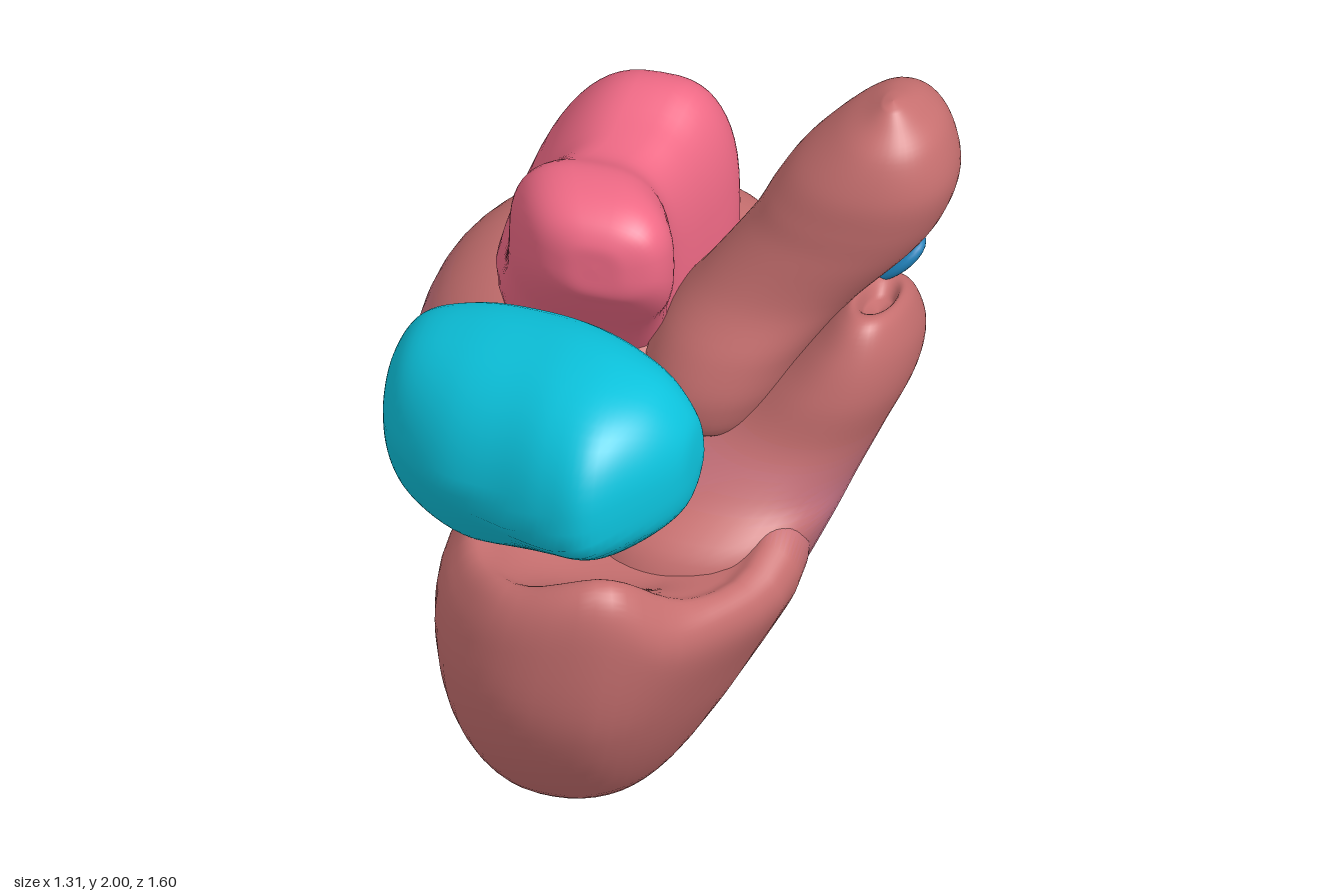
import * as THREE from 'three';

const BROWN = 0xc87070, PURPLE = 0xc27aa6, PINK = 0xf06a86, CYAN = 0x0cc4de, BLUE = 0x1f80b8;
const mat = (color) => new THREE.MeshStandardMaterial({ color });
const { smoothstep } = THREE.MathUtils;

// Smooth skin through oval sections [t, aMin, aMax, bMin, bMax], closed at both ends;
// place(t, a, b) turns section coordinates into a point.
function loft(sections, place, power = 0.92, sides = 48, steps = 6) {
  const n = sections.length;
  const spline = new THREE.CubicInterpolant(sections.map((_, i) => i), sections.flat(), 5);
  const rows = (n - 1) * steps;
  const pos = [], index = [];
  const round = (v) => Math.sign(v) * Math.abs(v) ** power;
  for (let r = 0; r <= rows; r++) {
    const [t, a0, a1, b0, b1] = Array.from(spline.evaluate(r / steps));
    const half = r === 0 || r === rows ? 0 : 0.5;
    for (let s = 0; s < sides; s++) {
      const u = (s / sides) * Math.PI * 2;
      const a = (a0 + a1) / 2 + (a1 - a0) * half * round(Math.cos(u));
      const b = (b0 + b1) / 2 + (b1 - b0) * half * round(Math.sin(u));
      pos.push(...place(t, a, b));
    }
  }
  for (let r = 0; r < rows; r++) {
    for (let s = 0; s < sides; s++) {
      const p = r * sides + s, q = r * sides + ((s + 1) % sides);
      index.push(p, p + sides, q, q, p + sides, q + sides);
    }
  }
  // Turn the faces outward if the signed volume is negative
  const v = (i) => new THREE.Vector3().fromArray(pos, i * 3);
  let volume = 0;
  for (let i = 0; i < index.length; i += 3) {
    volume += v(index[i]).dot(v(index[i + 1]).cross(v(index[i + 2])));
  }
  if (volume < 0) index.reverse();
  const geo = new THREE.BufferGeometry();
  geo.setAttribute('position', new THREE.Float32BufferAttribute(pos, 3));
  geo.setIndex(index);
  geo.computeVertexNormals();
  return geo;
}

// Sorts the faces into colour bands: purple low at the back, brown above and in front
const BANDS = 20;
const fleshMaterials = Array.from({ length: BANDS }, (_, i) =>
  mat(new THREE.Color(PURPLE).lerp(new THREE.Color(BROWN), i / (BANDS - 1))));
function tint(geo) {
  const buckets = Array.from({ length: BANDS }, () => []);
  const { position } = geo.attributes, index = geo.index.array;
  for (let i = 0; i < index.length; i += 3) {
    const y = position.getY(index[i]), z = position.getZ(index[i]);
    const blend = Math.max(smoothstep(y, 0.65, 1.2), smoothstep(z, -0.1, 0.3));
    buckets[Math.round(blend * (BANDS - 1))].push(...index.slice(i, i + 3));
  }
  geo.setIndex(buckets.flat());
  let start = 0;
  buckets.forEach((faces, i) => {
    geo.addGroup(start, faces.length, i);
    start += faces.length;
  });
  return geo;
}

export function createModel() {
  const group = new THREE.Group();
  const add = (name, geo, material) => {
    const mesh = new THREE.Mesh(geo, material);
    mesh.name = name;
    group.add(mesh);
    return mesh;
  };

  // Rear chamber
  add('rearChamber', tint(loft([
    [0.0, -0.2, -0.15, -0.36, -0.28],
    [0.04, -0.3, -0.04, -0.46, -0.1],
    [0.2, -0.42, 0.08, -0.65, 0.0],
    [0.45, -0.53, 0.18, -0.755, 0.06],
    [0.65, -0.605, 0.24, -0.79, 0.09],
    [0.85, -0.655, 0.27, -0.8, 0.11],
    [1.0, -0.64, 0.28, -0.785, 0.11],
    [1.13, -0.58, 0.26, -0.74, 0.07],
    [1.22, -0.47, 0.18, -0.67, -0.01],
    [1.265, -0.32, 0.04, -0.54, -0.14],
    [1.27, -0.17, -0.15, -0.36, -0.34],
  ], (t, x, z) => [x - 0.025 * smoothstep(x, -0.2, 0.2) * smoothstep(-z, 0.4, 0.65), t, z])),
  fleshMaterials);

  // Front chamber: narrows to the front, with a raised lip and a sunken open top
  add('frontChamber', tint(loft([
    [0.0, -0.19, -0.15, -0.06, 0.0],
    [0.04, -0.25, -0.08, -0.14, 0.09],
    [0.12, -0.3, -0.01, -0.18, 0.21],
    [0.3, -0.37, 0.1, -0.2, 0.46],
    [0.5, -0.415, 0.21, -0.2, 0.63],
    [0.7, -0.43, 0.315, -0.2, 0.725],
    [0.87, -0.42, 0.39, -0.2, 0.75],
    [0.96, -0.38, 0.38, -0.15, 0.735],
    [0.99, -0.34, 0.32, -0.1, 0.68],
    [0.95, -0.28, 0.26, -0.05, 0.61],
    [0.89, -0.15, 0.15, 0.05, 0.45],
    [0.88, -0.01, 0.01, 0.24, 0.26],
  ], (t, x, z) => {
    const front = Math.exp(-((x - 0.05) ** 2) / 0.035 - ((z - 0.68) ** 2) / 0.04);
    const dip = smoothstep(x, 0.12, 0.3) * smoothstep(z, 0.2, 0.4) + smoothstep(-x, 0.2, 0.36);
    const narrow = x > 0 ? 1 - 0.3 * smoothstep(z, 0.22, 0.7) : 1;
    return [x * narrow, t + (0.11 * front - 0.05 * dip) * smoothstep(t, 0.65, 1), z];
  })), fleshMaterials);

  // Side arm growing out of the front chamber, its mouth sloping to the rear
  add('sideArm', tint(loft([
    [0.3, -0.06, 0.03, 0.0, 0.1],
    [0.38, -0.1, 0.12, -0.13, 0.22],
    [0.55, -0.12, 0.222, -0.18, 0.32],
    [0.75, -0.14, 0.335, -0.23, 0.38],
    [0.92, -0.14, 0.415, -0.26, 0.35],
    [1.02, -0.03, 0.46, -0.27, 0.24],
    [1.13, 0.14, 0.51, -0.28, 0.17],
    [1.25, 0.26, 0.56, -0.28, 0.15],
    [1.35, 0.34, 0.572, -0.28, 0.12],
    [1.43, 0.4, 0.55, -0.24, 0.08],
    [1.45, 0.43, 0.52, -0.19, 0.03],
    [1.4, 0.45, 0.5, -0.12, -0.04],
  ], (t, x, z) => [x, t + 0.25 * z * smoothstep(t, 1.1, 1.4), z])), fleshMaterials);

  // Large leaning vessel with a swollen foot
  add('mainVessel', loft([
    [1.07, 0.06, 0.12, -0.1, -0.04],
    [1.1, -0.02, 0.22, -0.26, 0.11],
    [1.2, -0.05, 0.29, -0.31, 0.15],
    [1.32, -0.01, 0.35, -0.29, 0.13],
    [1.45, 0.08, 0.44, -0.25, 0.08],
    [1.6, 0.18, 0.57, -0.26, 0.075],
    [1.7, 0.23, 0.63, -0.27, 0.08],
    [1.8, 0.29, 0.655, -0.27, 0.08],
    [1.9, 0.38, 0.63, -0.25, 0.05],
    [1.96, 0.45, 0.58, -0.2, 0.0],
    [2.0, 0.5, 0.53, -0.08, -0.04],
  ], (t, x, z) => [x, t, z]), mat(BROWN));

  // Pink upper chamber: two humps joined by a saddle, the rear one leaning inward
  add('upperChamber', loft([
    [-0.55, -0.22, -0.18, 1.26, 1.3],
    [-0.53, -0.34, -0.04, 1.16, 1.4],
    [-0.47, -0.4, 0.03, 1.1, 1.57],
    [-0.4, -0.44, 0.07, 1.08, 1.7],
    [-0.31, -0.45, 0.085, 1.08, 1.745],
    [-0.18, -0.44, 0.05, 1.08, 1.72],
    [-0.05, -0.4, 0.01, 1.15, 1.72],
    [0.07, -0.34, 0.04, 1.32, 1.78],
    [0.17, -0.29, 0.07, 1.44, 1.79],
    [0.24, -0.23, 0.05, 1.53, 1.765],
    [0.275, -0.16, -0.01, 1.58, 1.72],
    [0.28, -0.1, -0.07, 1.64, 1.67],
  ], (t, x, y) => {
    const lean = 0.7 * Math.max(0, y - 1.28) * smoothstep(-t, -0.1, 0.15);
    return [x + (0.07 - x) * lean, y, t];
  }, 0.72), mat(PINK));

  // Cyan front chamber, its lower front cut back
  add('frontUpperChamber', loft([
    [-0.55, 1.2, 1.26, 0.25, 0.31],
    [-0.54, 1.08, 1.35, 0.17, 0.4],
    [-0.48, 0.98, 1.44, 0.12, 0.51],
    [-0.35, 0.91, 1.5, 0.1, 0.64],
    [-0.2, 0.94, 1.54, 0.14, 0.72],
    [-0.08, 1.01, 1.565, 0.2, 0.78],
    [0.03, 1.08, 1.565, 0.27, 0.8],
    [0.13, 1.16, 1.53, 0.35, 0.71],
    [0.2, 1.24, 1.45, 0.42, 0.6],
    [0.22, 1.32, 1.36, 0.46, 0.5],
  ], (t, y, z) => [t, y, z - 1.8 * Math.max(0, 1.25 - y) * Math.max(0, z - 0.3)], 0.85), mat(CYAN));

  // Small blue flap at the mouth of the side arm
  const flap = add('mouthFlap', new THREE.SphereGeometry(1, 24, 16), mat(BLUE));
  flap.scale.set(0.105, 0.03, 0.065);
  flap.position.set(0.465, 1.425, -0.235);
  flap.rotation.set(0.3, 0, 0.7);

  return group;
}
